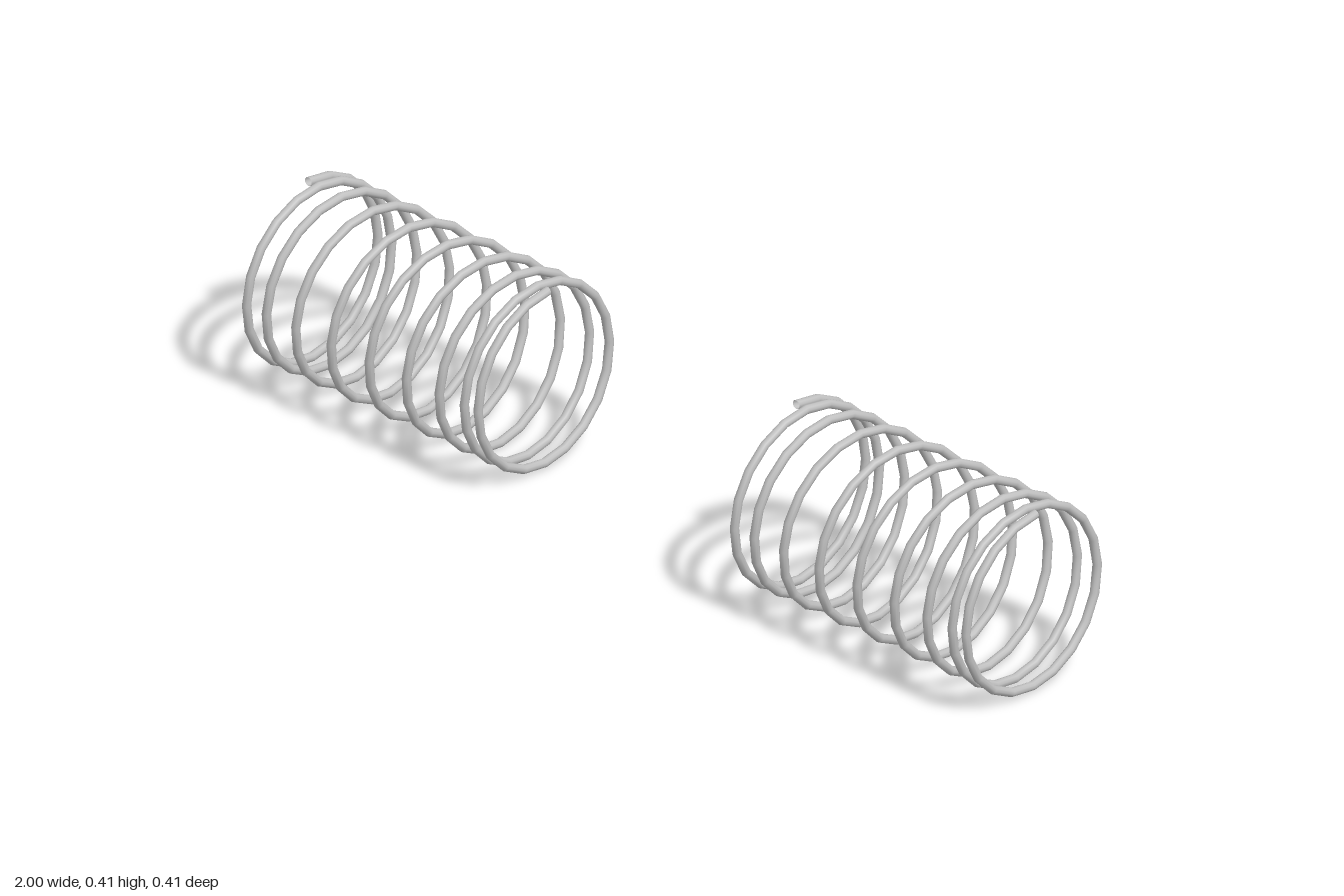
import * as THREE from 'three';

const TURNS = 9, STEPS_PER_TURN = 20;
const COIL_RADIUS = 0.194, WIRE_RADIUS = 0.0095, LENGTH = 0.652;
const EVEN_PITCH = 0.12; // share of constant pitch mixed into the tightening one

// Helix along x whose pitch tightens smoothly towards both ends
class SpringCurve extends THREE.Curve {
  getPoint(t, target = new THREE.Vector3()) {
    const a = t * TURNS * Math.PI * 2;
    const along = THREE.MathUtils.lerp(t * t * (3 - 2 * t), t, EVEN_PITCH);
    return target.set((along - 0.5) * LENGTH, Math.cos(a) * COIL_RADIUS, -Math.sin(a) * COIL_RADIUS);
  }
  // Even steps in angle, so every turn has the same number of segments
  getPointAt(u, target) { return this.getPoint(u, target); }
  getTangentAt(u, target) { return this.getTangent(u, target); }
}

export function createModel() {
  const group = new THREE.Group();
  group.name = 'springPair';

  const steel = new THREE.MeshStandardMaterial({ color: 0xc0c0c0, side: THREE.DoubleSide });
  steel.name = 'steel grey';

  const wire = new THREE.TubeGeometry(new SpringCurve(), TURNS * STEPS_PER_TURN, WIRE_RADIUS, 10, false);

  // Two identical coil springs lying end to end
  for (const [name, x] of [['rightSpring', -0.6645], ['leftSpring', 0.6645]]) {
    const spring = new THREE.Mesh(wire, steel);
    spring.name = name;
    spring.position.set(x, COIL_RADIUS + WIRE_RADIUS, 0);
    group.add(spring);
  }
  return group;
}
